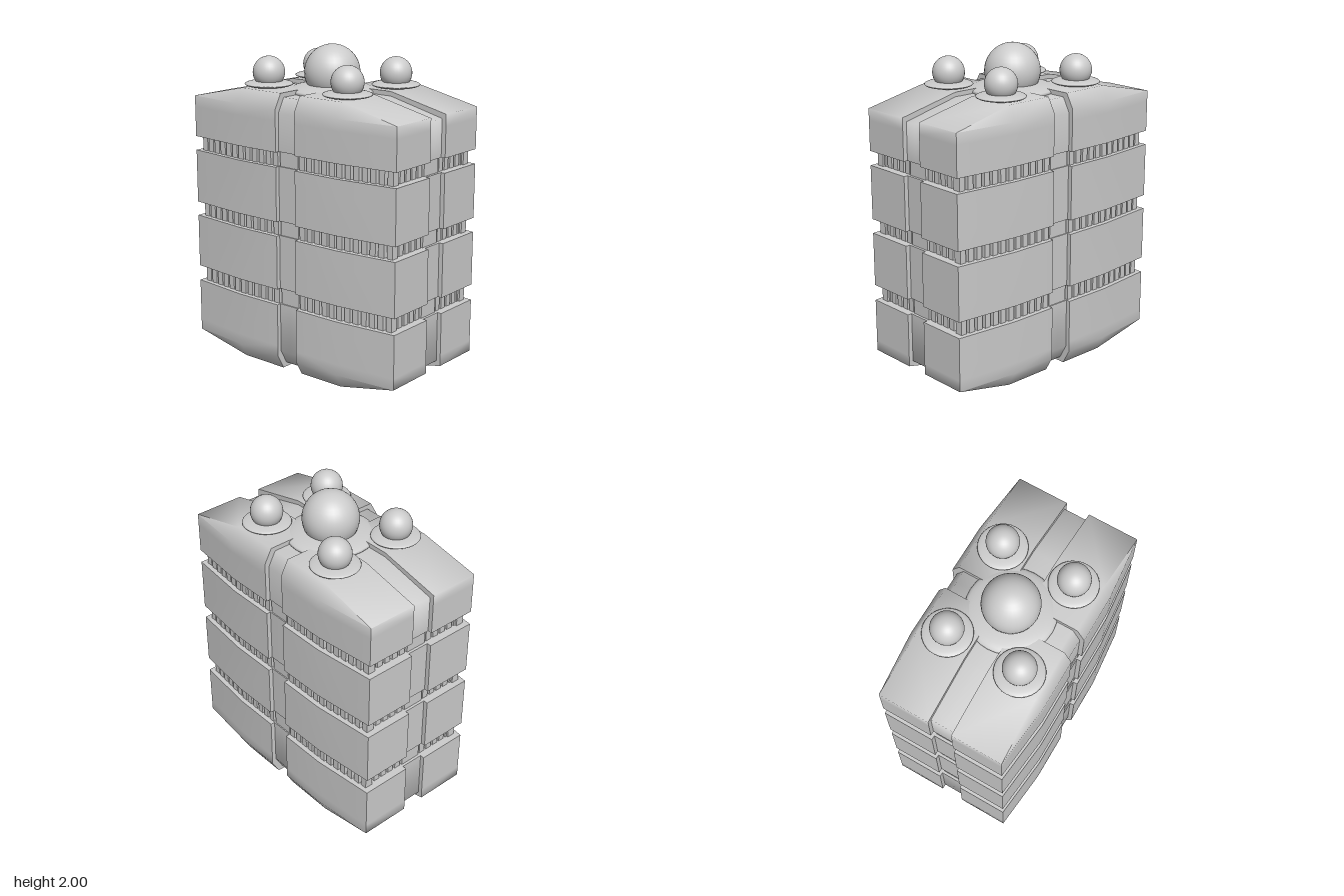
import * as THREE from 'three';
import { toCreasedNormals, mergeGeometries } from 'three/addons/utils/BufferGeometryUtils.js';

const mat = new THREE.MeshStandardMaterial({ color: 0xcccccc });
const signs = [[1, 1], [1, -1], [-1, 1], [-1, -1]];
const HALF = 0.075; // half width of the cross grooves
const CREASE = THREE.MathUtils.degToRad(78);

// Plan of the full body, and of the bevelled top and bottom ends: half widths in x at z = 0.39 and at the far end
const full = y => ({ y, X: 0.44, E: 0.4, Z: 0.79 });
const end = y => ({ y, X: 0.39, E: 0.39, Z: 0.39 });

// One quarter of a tier, lofted through its levels, starting at "a" from the centre planes and inset by d
function quarter(levels, a, d, sx, sz) {
  const rings = levels.map(({ y, X, E, Z }) => {
    const end = Z === 0.39 ? 0.39 : Z - d;
    return [[a, a], [X - d, a], [X - d, 0.39], [E - d, end], [a, end]]
      .map(([x, z]) => new THREE.Vector3(x * sx, y, z * sz));
  });
  const pos = [];
  const tri = (p, q, r) => {
    if (p.distanceTo(q) < 1e-6 || q.distanceTo(r) < 1e-6 || r.distanceTo(p) < 1e-6) return;
    for (const v of sx * sz > 0 ? [p, q, r] : [p, r, q]) pos.push(v.x, v.y, v.z);
  };
  for (let k = 0; k < rings.length - 1; k++) {
    const lo = rings[k], hi = rings[k + 1];
    for (let i = 0; i < 5; i++) {
      const j = (i + 1) % 5;
      tri(lo[i], hi[i], lo[j]);
      tri(lo[j], hi[i], hi[j]);
    }
  }
  const bottom = rings[0], top = rings[rings.length - 1];
  for (let i = 1; i < 4; i++) {
    tri(bottom[0], bottom[i], bottom[i + 1]);
    tri(top[0], top[i + 1], top[i]);
  }
  const g = new THREE.BufferGeometry();
  g.setAttribute('position', new THREE.Float32BufferAttribute(pos, 3));
  return toCreasedNormals(g, CREASE);
}

function tier(levels, a, d) {
  return mergeGeometries(signs.map(([sx, sz]) => quarter(levels, a, d, sx, sz)));
}

export function createModel() {
  const model = new THREE.Group();
  const add = (parent, name, geo, x = 0, y = 0, z = 0) => {
    const m = new THREE.Mesh(geo, mat);
    m.name = name;
    m.position.set(x, y, z);
    parent.add(m);
    return m;
  };

  // Four tiers: raised quarters around a slightly smaller groove floor
  const D = 0.028;
  const tiers = [
    { outer: [end(0), full(0.09), full(0.16), full(0.43)],
      inner: [end(D), full(0.09 + D), full(0.43)] },
    { outer: [full(0.53), full(0.87)] },
    { outer: [full(0.96), full(1.3)] },
    { outer: [full(1.39), full(1.58), full(1.65), end(1.74)],
      inner: [full(1.39), full(1.65 - D), end(1.74 - D)] },
  ];
  tiers.forEach(({ outer, inner }, i) => {
    const g = new THREE.Group();
    g.name = 'tier' + (i + 1);
    add(g, 'tierQuarters', tier(outer, HALF, 0));
    add(g, 'grooveFloor', tier(inner || outer, 0, D));
    model.add(g);
  });

  // Core seen inside the gaps
  add(model, 'core', tier([full(0.4), full(1.42)], 0, 0.09));

  // Rows of slats and cross connectors in each gap
  const sideSlat = new THREE.BoxGeometry(0.05, 0.1, 0.04);
  const endSlat = new THREE.BoxGeometry(0.04, 0.1, 0.05);
  for (const y of [0.48, 0.915, 1.345]) {
    const gap = new THREE.Group();
    gap.name = 'gapRow';
    for (const [sx, sz] of signs) {
      for (let i = 0; i < 12; i++) {
        const z = 0.105 + i * 0.057;
        const x = 0.385 - 0.1 * Math.max(0, z - 0.39);
        add(gap, 'sideSlat', sideSlat, sx * x, y, sz * z);
      }
      for (let i = 0; i < 5; i++)
        add(gap, 'endSlat', endSlat, sx * (0.105 + i * 0.057), y, sz * 0.715);
    }
    add(gap, 'connector', new THREE.BoxGeometry(0.14, 0.11, 1.49), 0, y);
    add(gap, 'connector', new THREE.BoxGeometry(0.81, 0.11, 0.14), 0, y);
    model.add(gap);
  }

  // Domes on top, each a ball on a flat rounded disc
  const dome = (name, x, z, ballR, ballY, discR, discH, discY) => {
    const g = new THREE.Group();
    g.name = name;
    add(g, 'ball', new THREE.SphereGeometry(ballR, 32, 20), x, ballY, z);
    const disc = new THREE.SphereGeometry(discR, 32, 16).scale(1, discH / discR, 1);
    add(g, 'disc', disc, x, discY, z);
    model.add(g);
  };
  dome('centreDome', 0, 0, 0.172, 1.828, 0.27, 0.045, 1.72);
  for (const [sx, sz] of signs)
    dome('cornerDome', sx * 0.235, sz * 0.308, 0.099, 1.826, 0.149, 0.022, 1.755);

  return model;
}
